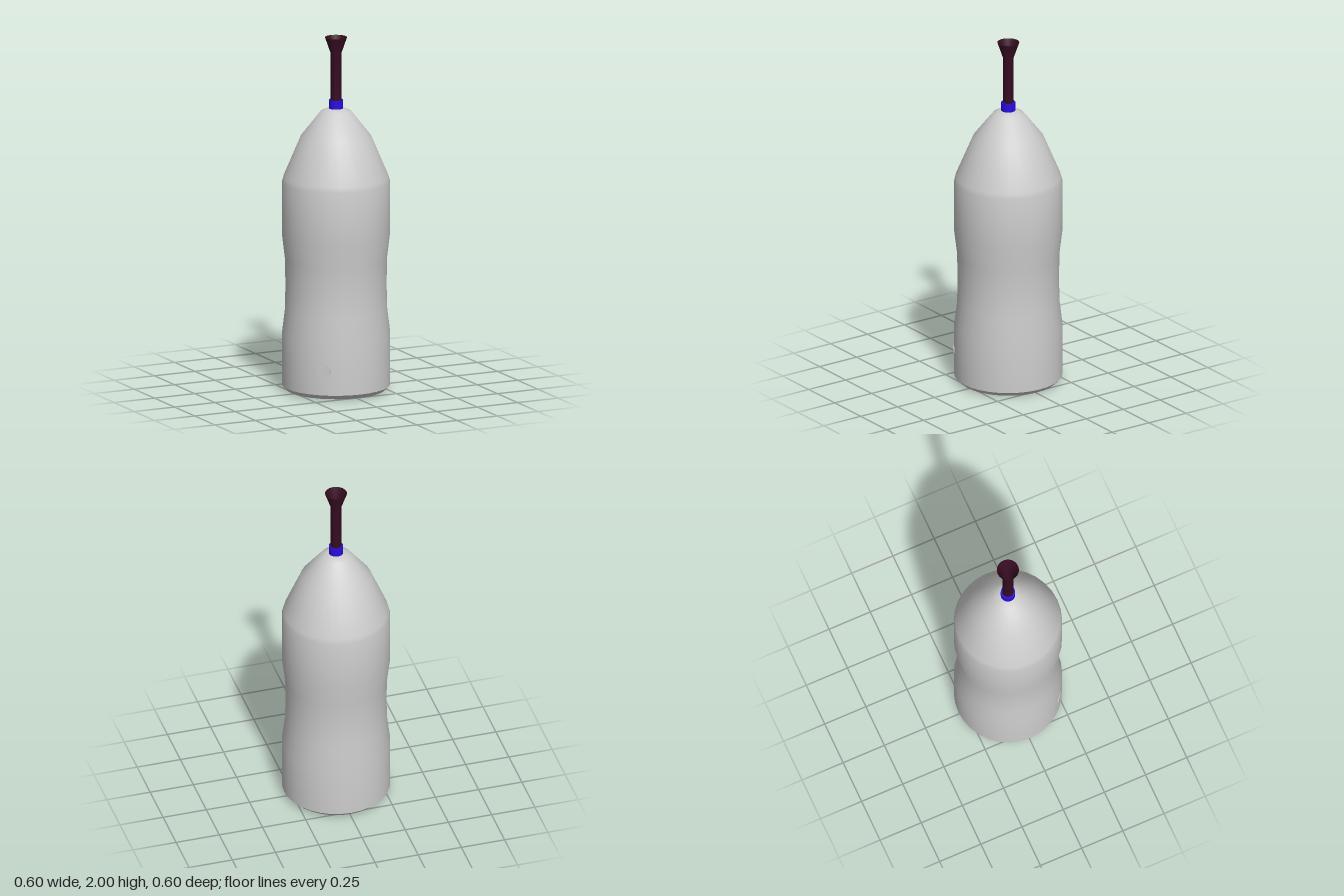
import * as THREE from 'three';
import { toCreasedNormals } from 'three/addons/utils/BufferGeometryUtils.js';

const SIDES = 32;

// Revolve a list of [radius, height] points around the y axis
function revolve(name, profile, material, crease = 0.6) {
  const points = profile.map(([r, y]) => new THREE.Vector2(r, y));
  const mesh = new THREE.Mesh(toCreasedNormals(new THREE.LatheGeometry(points, SIDES), crease), material);
  mesh.name = name;
  return mesh;
}

export function createModel() {
  const group = new THREE.Group();
  group.name = 'bottle';
  const grey = new THREE.MeshStandardMaterial({ color: 0xcccccc });
  const blue = new THREE.MeshStandardMaterial({ color: 0x2a0ce0 });
  const maroon = new THREE.MeshStandardMaterial({ color: 0x380d22, side: THREE.DoubleSide });

  // Closed body with a chamfered base, gripping waist and tapered shoulder
  group.add(revolve('body', [
    [0, 0], [0.275, 0.005], [0.3, 0.03], [0.3, 0.33], [0.284, 0.46], [0.281, 0.6],
    [0.284, 0.75], [0.3, 0.88], [0.3, 1.18], [0.292, 1.21], [0.195, 1.44],
    [0.085, 1.58], [0.05, 1.597], [0, 1.597],
  ], grey));

  // Collar ring around the foot of the spout
  group.add(revolve('collar', [
    [0.03, 1.595], [0.04, 1.595], [0.04, 1.645], [0.03, 1.645],
  ], blue));

  // Thin open tube ending in a flared mouth
  group.add(revolve('spout', [
    [0.03, 1.6], [0.03, 1.91], [0.061, 2],
  ], maroon));

  // Small round plug set flush into the lower wall
  const angle = Math.atan2(-0.19, 0.23);
  const plug = new THREE.Mesh(new THREE.CylinderGeometry(0.04, 0.04, 0.02, 24), grey);
  plug.name = 'plug';
  plug.rotation.set(Math.PI / 2, 0, -angle);
  plug.rotation.order = 'YXZ';
  plug.rotation.set(Math.PI / 2, angle, 0);
  plug.position.set(Math.sin(angle) * 0.291, 0.17, Math.cos(angle) * 0.291);
  group.add(plug);

  return group;
}
